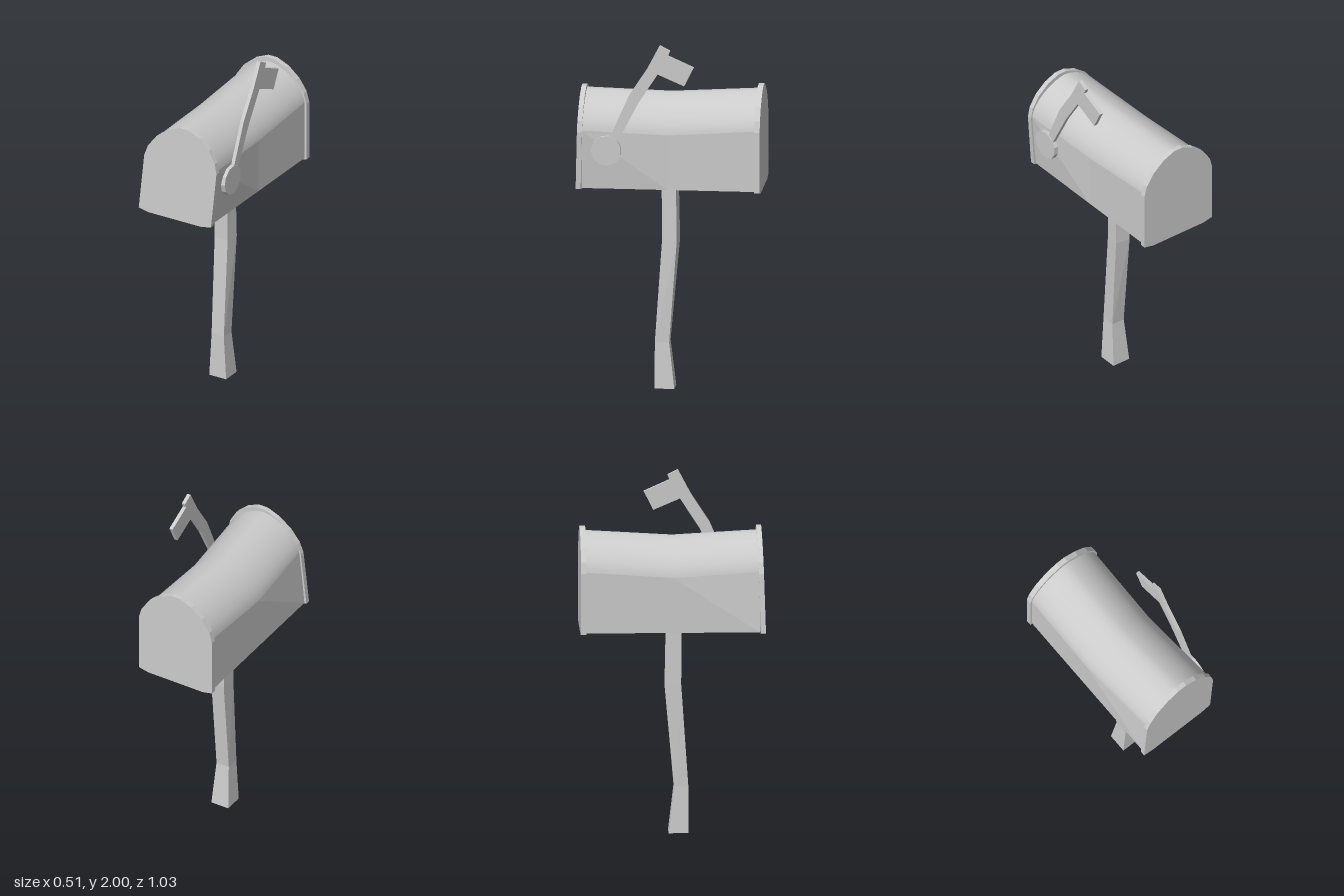
import * as THREE from 'three';

const material = new THREE.MeshStandardMaterial({ color: 0xcccccc });
const flat = new THREE.MeshStandardMaterial({ color: 0xcccccc, flatShading: true });
const openFlat = new THREE.MeshStandardMaterial({ color: 0xcccccc, flatShading: true, side: THREE.DoubleSide });

// Skin between cross-sections; optionally close each ring and fill both ends.
function loft(rings, { closed = true, caps = true } = {}) {
  const n = rings[0].length, index = [];
  for (let r = 0; r < rings.length - 1; r++) {
    for (let i = 0; i < (closed ? n : n - 1); i++) {
      const j = (i + 1) % n, a = r * n, b = a + n;
      index.push(a + i, a + j, b + j, a + i, b + j, b + i);
    }
  }
  if (caps) {
    const last = (rings.length - 1) * n;
    for (let i = 1; i < n - 1; i++) index.push(0, i + 1, i, last, last + i, last + i + 1);
  }
  const geometry = new THREE.BufferGeometry();
  geometry.setAttribute('position', new THREE.Float32BufferAttribute(rings.flat(2), 3));
  geometry.setIndex(index);
  geometry.computeVertexNormals();
  return geometry;
}

// Slightly pointed arch, from the right shoulder over the top to the left one.
function arch(cx, halfWidth, shoulder, top, segments) {
  const points = [];
  for (let i = 0; i <= segments; i++) {
    const t = (i / segments) * Math.PI, c = Math.cos(t);
    points.push([
      cx + halfWidth * Math.sign(c) * Math.abs(c) ** 1.2,
      shoulder + (top - shoulder) * Math.abs(Math.sin(t)) ** 1.2,
    ]);
  }
  return points;
}

function addMesh(group, name, geometry, mat) {
  const mesh = new THREE.Mesh(geometry, mat);
  mesh.name = name;
  group.add(mesh);
  return mesh;
}

export function createModel() {
  const model = new THREE.Group();
  model.name = 'mailbox';

  // Sagging box: z, shoulder centre, shoulder height, top height
  const sections = [
    [-0.495, -0.016, 1.515, 1.71],
    [0, -0.016, 1.48, 1.68],
    [0.48, 0.015, 1.505, 1.70],
  ];
  const half = 0.226, floorY = 1.17;
  addMesh(model, 'boxRoof', loft(
    sections.map(([z, cx, s, t]) => arch(cx, half, s, t, 16).map(([x, y]) => [x, y, z])),
    { closed: false, caps: false }), material);
  addMesh(model, 'boxWalls', loft(
    sections.map(([z, cx, s]) => [
      [cx - half, s, z], [-0.016 - half, floorY, z], [-0.016 + half, floorY, z], [cx + half, s, z],
    ]), { closed: false, caps: false }), openFlat);

  // End plates: the door leans sideways and back, the rear plate is upright
  function endPlate(name, z0, z1, halfWidth, shoulder, top, leanX, leanZ) {
    const cx = -0.016;
    const outline = [
      ...arch(cx, halfWidth, shoulder, top, 9),
      [cx - halfWidth, 1.165], [cx - halfWidth + 0.06, 1.152],
      [cx + halfWidth - 0.06, 1.152], [cx + halfWidth, 1.165],
    ];
    const ring = (z) => outline.map(([x, y]) => [x + (y - 1.165) * leanX, y, z + (y - 1.165) * leanZ]);
    addMesh(model, name, loft([ring(z0), ring(z1)]), flat);
  }
  endPlate('door', 0.485, 0.513, 0.236, 1.495, 1.722, 0.09, -0.03);
  endPlate('rearPlate', -0.513, -0.482, 0.238, 1.51, 1.735, 0, 0);

  // Crooked post, open at the ends: y, then front-right, back-right, back-left, front-left (x, z)
  const postSections = [
    [0, [0.055, 0.09], [0.055, -0.02], [-0.055, -0.02], [-0.055, 0.09]],
    [0.26, [0.04, 0.09], [0.04, 0.01], [-0.04, 0.01], [-0.04, 0.09]],
    [0.84, [0.04, 0.05], [0.048, -0.033], [-0.04, -0.043], [-0.045, 0.05]],
    [1.18, [0.038, 0.052], [0.043, -0.028], [-0.04, -0.036], [-0.045, 0.052]],
  ];
  addMesh(model, 'post', loft(
    postSections.map(([y, ...corners]) => corners.map(([x, z]) => [x, y, z])),
    { caps: false }), openFlat);

  // Signal flag: bent arm with a small rectangular pennant, drawn in (z, y)
  const flag = new THREE.Group();
  flag.name = 'flag';
  const outline = [
    [0.323, 1.46], [0.217, 1.704], [0.111, 1.868], [0.042, 2.0], [-0.016, 1.97], [-0.005, 1.942],
    [-0.148, 1.878], [-0.095, 1.772], [0.053, 1.836], [0.159, 1.672], [0.28, 1.44],
  ].map(([z, y]) => new THREE.Vector2(z, y));
  const arm = addMesh(flag, 'flagArm',
    new THREE.ExtrudeGeometry(new THREE.Shape(outline), { depth: 0.021, bevelEnabled: false }), flat);
  arm.rotation.y = -Math.PI / 2;
  arm.position.x = 0.25;

  const pivot = addMesh(flag, 'flagPivot', new THREE.CylinderGeometry(0.085, 0.085, 0.035, 11), flat);
  pivot.rotation.z = -Math.PI / 2;
  pivot.position.set(0.2375, 1.395, 0.34);
  model.add(flag);

  return model;
}
